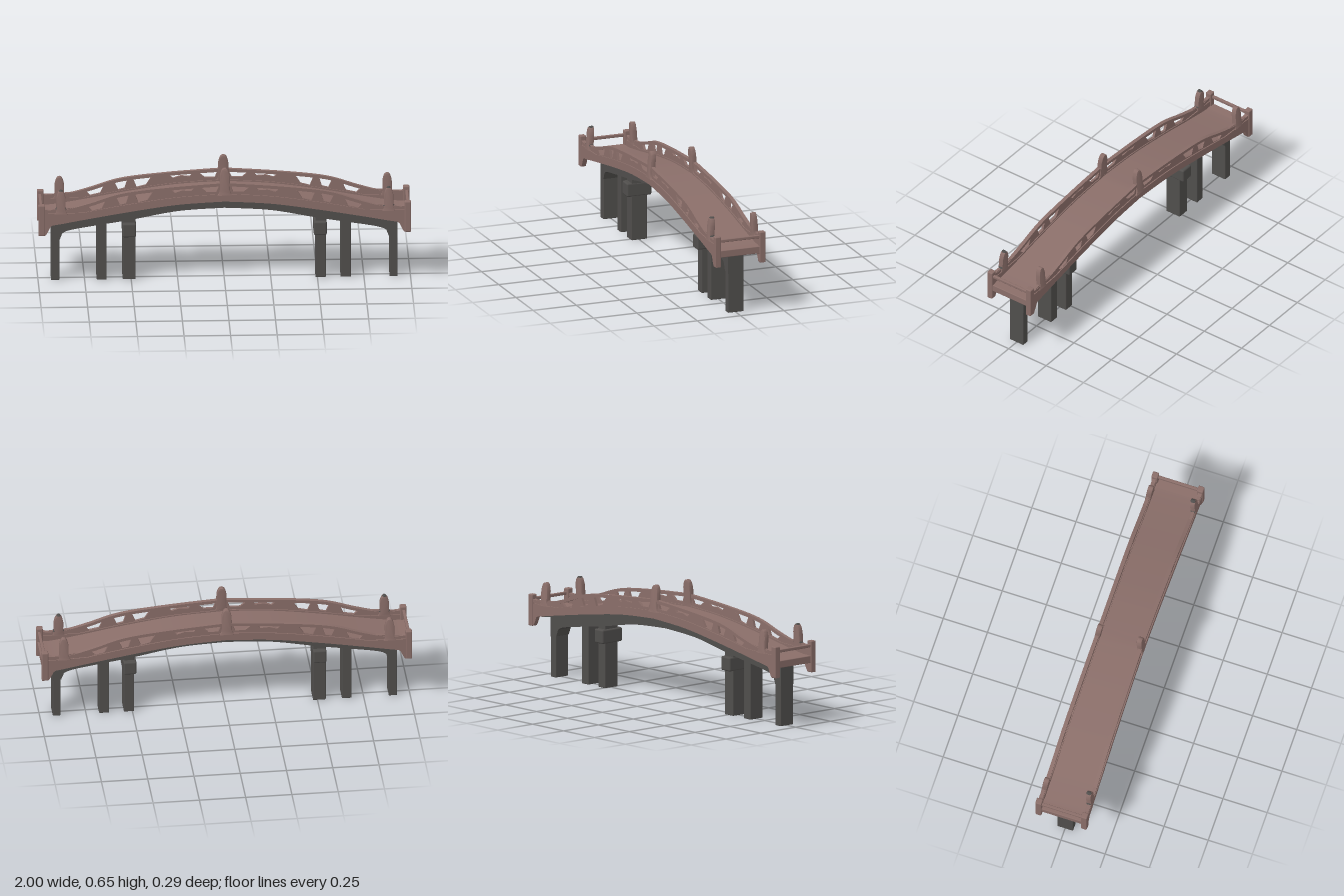
import * as THREE from 'three';
import { toCreasedNormals } from 'three/addons/utils/BufferGeometryUtils.js';
import { RoundedBoxGeometry } from 'three/addons/geometries/RoundedBoxGeometry.js';

// Arched footbridge, mirrored about x = 0 and z = 0.
export function createModel() {
  const bridge = new THREE.Group();
  bridge.name = 'archedBridge';
  const wood = new THREE.MeshStandardMaterial({ color: 0x8a6e69 });
  wood.name = 'warmBrown';
  const stone = new THREE.MeshStandardMaterial({ color: 0x504e4c });
  stone.name = 'darkGrey';

  function add(name, geometry, material) {
    const mesh = new THREE.Mesh(geometry, material);
    mesh.name = name;
    bridge.add(mesh);
    return mesh;
  }

  function box(name, x0, x1, y0, y1, z0, z1, material, radius = 0.004) {
    const g = new RoundedBoxGeometry(x1 - x0, y1 - y0, z1 - z0, 2, radius);
    g.translate((x0 + x1) / 2, (y0 + y1) / 2, (z0 + z1) / 2);
    return add(name, g, material);
  }

  // Height as a function of |x|, through a few control points
  function profile(pts, smooth = true) {
    const v = pts.map(([x, y]) => new THREE.Vector2(x, y));
    const line = smooth ? new THREE.SplineCurve(v).getPoints(60) : v;
    return (x) => {
      const a = Math.abs(x);
      let i = 1;
      while (i < line.length - 1 && line[i].x < a) i++;
      const p = line[i - 1], q = line[i];
      const t = THREE.MathUtils.clamp((a - p.x) / (q.x - p.x), 0, 1);
      return p.y + (q.y - p.y) * t;
    };
  }

  function range(a, b, n) {
    return Array.from({ length: n + 1 }, (_, i) => a + ((b - a) * i) / n);
  }

  // Plate between two height curves, extruded from z0 to z1
  function strip(xs, low, high, z0, z1) {
    const pts = [
      ...xs.map((x) => new THREE.Vector2(x, low(x))),
      ...[...xs].reverse().map((x) => new THREE.Vector2(x, high(x))),
    ];
    const g = new THREE.ExtrudeGeometry(new THREE.Shape(pts), { depth: z1 - z0, bevelEnabled: false });
    g.translate(0, 0, z0);
    return toCreasedNormals(g, 0.5);
  }

  // The side panels bow outward slightly toward the bridge ends
  function bow(g) {
    const p = g.attributes.position;
    for (let i = 0; i < p.count; i++) p.setZ(i, p.getZ(i) + 0.008 * Math.abs(p.getX(i)));
    return g;
  }

  // Same part on the front and back sides
  function bothSides(name, makeFront, material) {
    add(name + 'Front', makeFront(), material);
    const g = makeFront();
    g.rotateY(Math.PI);
    add(name + 'Back', g, material);
  }

  const arch = profile([[0, 0.465], [0.25, 0.45], [0.5, 0.415], [0.75, 0.373], [0.92, 0.343], [1, 0.338]]);
  const deckTop = profile([[0, 0.5], [0.25, 0.485], [0.5, 0.45], [0.75, 0.405], [0.92, 0.378], [1, 0.375]]);
  const girderLow = profile([[0, 0.4], [0.25, 0.384], [0.5, 0.338], [0.7, 0.306], [0.82, 0.285], [0.87, 0.265], [0.887, 0.225], [0.94, 0.22]]);
  const railTop = profile([[0, 0.569], [0.3, 0.547], [0.55, 0.517], [0.72, 0.465], [0.84, 0.433], [0.93, 0.427], [1, 0.437]]);
  const railLow = (x) => railTop(x) - 0.017;
  const bandTop = profile([[0, 0.507], [0.25, 0.492], [0.5, 0.458], [0.73, 0.418], [0.76, 0.412], [1, 0.407]]);
  const panelLow = (x) => {
    const t = THREE.MathUtils.smoothstep(Math.abs(x), 0.93, 0.965);
    return arch(x) * (1 - t) + 0.285 * t;
  };

  // Deck and its dark underside
  const span = range(-0.985, 0.985, 64);
  add('deck', strip(span, arch, deckTop, -0.114, 0.114), wood);
  const inner = range(-0.93, 0.93, 64);
  add('deckUnderside', strip(inner, (x) => arch(x) - 0.007, (x) => arch(x) + 0.002, -0.112, 0.112), stone);

  // Arched girder with rounded corners into the outer legs
  add('girder', strip(range(-0.93, 0.93, 124), girderLow, arch, -0.045, 0.045), stone);

  // Legs
  const legs = [[-0.93, -0.885], [-0.685, -0.632], [-0.545, -0.476], [0.49, 0.546], [0.625, 0.68], [0.888, 0.93]];
  legs.forEach(([a, b], i) => {
    const mid = (a + b) / 2;
    box('leg' + (i + 1), a, b, 0, girderLow(mid) + 0.03, -0.045, 0.045, stone);
  });
  // Broad blocks heading the inner legs
  box('legCapRight', -0.547, -0.474, 0.245, 0.322, -0.071, 0.071, stone, 0.009);
  box('legCapLeft', 0.48, 0.55, 0.245, 0.322, -0.071, 0.071, stone, 0.009);

  // Side bands with drooping feet, and the handrails above
  bothSides('sideBand', () => bow(strip(range(-1, 1, 160), panelLow, bandTop, 0.109, 0.134)), wood);
  bothSides('handrail', () => bow(strip(range(-1, 1, 80), railLow, railTop, 0.111, 0.132)), wood);

  // Carved infill: x and share of the gap that is filled
  const carving = [
    [0, 1], [0.03, 1], [0.045, 0.3], [0.1, 0.35], [0.135, 1], [0.165, 0.95], [0.18, 0.6], [0.23, 0.75],
    [0.27, 0.55], [0.295, 1], [0.36, 1], [0.39, 0.85], [0.415, 0.15], [0.465, 0.05], [0.485, 1],
    [0.515, 1], [0.53, 0.15], [0.565, 0.1], [0.585, 1], [0.64, 1], [0.66, 0.1], [0.715, 0.05],
    [0.74, 1], [1, 1],
  ];
  const fill = profile(carving, false);
  const half = carving.map(([x]) => x);
  const carvedXs = [...half.slice(1).reverse().map((x) => -x), ...half];
  const carvedTop = (x) => {
    const low = bandTop(x);
    return low + Math.max(0.002, (railLow(x) + 0.004 - low) * fill(x));
  };
  bothSides('carvedInfill', () =>
    bow(strip(carvedXs, (x) => bandTop(x) - 0.012, carvedTop, 0.114, 0.128)), wood);

  // Bullet-shaped posts, leaning inward a little
  function post(x, base, top, w, z0, z1, lean) {
    const s = new THREE.Shape();
    s.moveTo(x - w * 0.75, base);
    s.quadraticCurveTo(x - w / 2, base + 0.012, x - w / 2, base + 0.035);
    s.lineTo(x - w / 2, top - 0.045);
    s.bezierCurveTo(x - w * 0.42, top - 0.02, x - w * 0.3, top, x, top);
    s.bezierCurveTo(x + w * 0.3, top, x + w * 0.42, top - 0.02, x + w / 2, top - 0.045);
    s.lineTo(x + w / 2, base + 0.035);
    s.quadraticCurveTo(x + w / 2, base + 0.012, x + w * 0.75, base);
    const bevel = 0.005;
    const g = new THREE.ExtrudeGeometry(s, {
      depth: z1 - z0 - 2 * bevel, bevelThickness: bevel, bevelSize: bevel, bevelOffset: -bevel, bevelSegments: 2, curveSegments: 8,
    });
    g.translate(0, 0, z0 + bevel);
    const p = g.attributes.position;
    for (let i = 0; i < p.count; i++) p.setZ(i, p.getZ(i) - lean * Math.max(0, p.getY(i) - base));
    return toCreasedNormals(g, 0.6);
  }
  bothSides('centrePost', () => post(0, 0.5, 0.648, 0.054, 0.11, 0.139, 0.08), wood);
  for (const side of [-1, 1]) {
    const label = side < 0 ? 'Right' : 'Left';
    bothSides('pinnacle' + label, () => post(side * 0.88, 0.405, 0.533, 0.05, 0.114, 0.143, 0.07), wood);
    // Dark tip on the front pinnacles
    add('pinnacleTip' + label, post(side * 0.88, 0.43, 0.535, 0.04, 0.113, 0.14, 0.07).translate(0, 0.001, 0), stone);

    // End posts, threshold beam and cross rail
    const [a, b] = side < 0 ? [-1, -0.965] : [0.965, 1];
    bothSides('endPost' + label, () => {
      const g = new RoundedBoxGeometry(b - a, 0.172, 0.035, 2, 0.006);
      return g.translate((a + b) / 2, 0.37, 0.1285);
    }, wood);
    const [c, d] = side < 0 ? [-0.995, -0.93] : [0.93, 0.995];
    box('thresholdBeam' + label, c, d, 0.336, 0.376, -0.118, 0.118, wood);
    box('crossRail' + label, side * 0.985 - 0.008, side * 0.985 + 0.008, 0.42, 0.437, -0.118, 0.118, wood);
  }
  return bridge;
}
